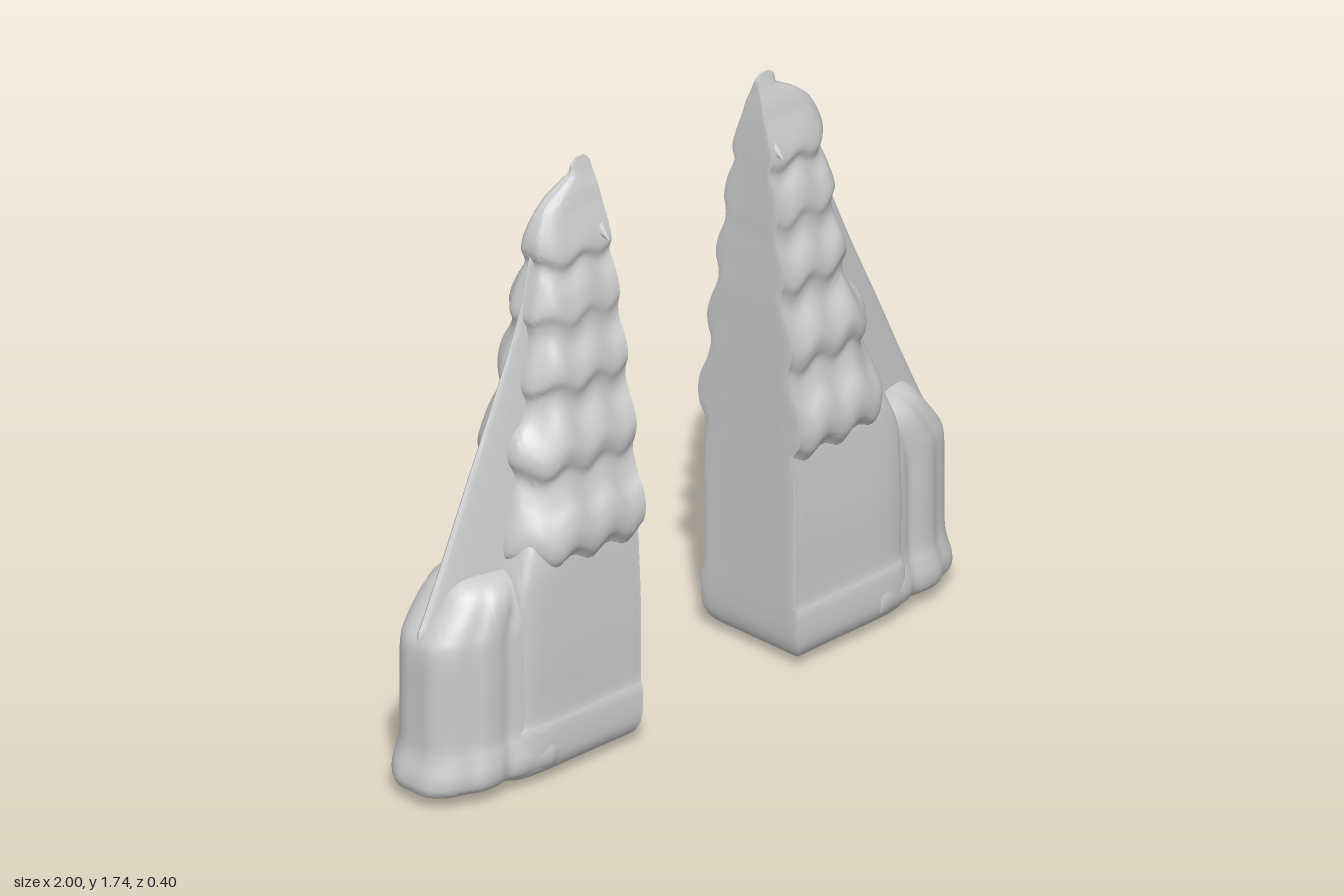
import * as THREE from 'three';
import { toCreasedNormals } from 'three/addons/utils/BufferGeometryUtils.js';

const material = new THREE.MeshStandardMaterial({ color: 0xcccccc });

// Lofts horizontal rings. rows: [y, inner x, outer x, half depth];
// plan: [u, v] from the inner to the outer edge, mirrored front to back.
function loft(rows, plan, side, scallop = () => 0) {
  const half = new THREE.SplineCurve(plan.map(p => new THREE.Vector2(...p))).getPoints(44);
  const ring = [...half, ...half.slice().reverse().map(p => new THREE.Vector2(p.x, -p.y))];
  const spline = new THREE.CubicInterpolant(rows.map((_, i) => i), rows.flat(), 4);
  const steps = (rows.length - 1) * 4, n = ring.length, pos = [], index = [];
  for (let i = 0; i <= steps; i++) {
    const [y, xi, xo, d] = spline.evaluate(i / 4);
    for (const p of ring) {
      const x = xi + (xo - xi) * p.x;
      pos.push(side * x, y + scallop(x, y), p.y * Math.max(d, 0.001));
    }
  }
  const face = (a, b, c) => side > 0 ? index.push(a, b, c) : index.push(a, c, b);
  for (let i = 0; i < steps; i++) {
    for (let j = 0; j < n; j++) {
      const a = i * n + j, b = i * n + (j + 1) % n;
      face(a, b, b + n);
      face(a, b + n, a + n);
    }
  }
  // end caps
  for (const [row, up] of [[0, false], [steps, true]]) {
    const [y, xi, xo] = spline.evaluate(row / 4), c = pos.length / 3;
    pos.push(side * (xi + xo) / 2, y, 0);
    for (let j = 0; j < n; j++) {
      const a = row * n + j, b = row * n + (j + 1) % n;
      up ? face(a, b, c) : face(b, a, c);
    }
  }
  const g = new THREE.BufferGeometry();
  g.setAttribute('position', new THREE.Float32BufferAttribute(pos, 3));
  g.setIndex(index);
  return toCreasedNormals(g, 0.9);
}

// Base block
const bodyRows = [
  [0.008, 0.41, 0.70, 0.05], [0.018, 0.36, 0.73, 0.11], [0.04, 0.32, 0.74, 0.16],
  [0.075, 0.303, 0.745, 0.183], [0.12, 0.297, 0.745, 0.188], [0.18, 0.295, 0.74, 0.185],
  [0.22, 0.295, 0.735, 0.178], [0.4, 0.295, 0.735, 0.179], [0.58, 0.295, 0.73, 0.172],
  [0.67, 0.295, 0.70, 0.165], [0.74, 0.295, 0.67, 0.15]];
const bodyPlan = [[0, 0], [0, 0.5], [0, 0.95], [0.03, 1], [0.2, 0.99], [0.5, 0.98], [0.75, 0.97],
  [0.9, 0.93], [0.98, 0.84], [1, 0.6], [1, 0]];

// Tiered tower with bulging eaves
const tierRows = [
  [0.62, 0.295, 0.66, 0.155], [0.655, 0.295, 0.69, 0.172], [0.685, 0.295, 0.705, 0.191],
  [0.73, 0.295, 0.70, 0.197], [0.78, 0.295, 0.68, 0.187], [0.83, 0.295, 0.665, 0.162],
  [0.89, 0.295, 0.65, 0.147], [0.93, 0.295, 0.665, 0.158], [0.97, 0.295, 0.66, 0.162],
  [1.02, 0.295, 0.64, 0.148], [1.08, 0.295, 0.605, 0.122], [1.12, 0.296, 0.595, 0.12],
  [1.16, 0.297, 0.605, 0.131], [1.21, 0.298, 0.595, 0.124], [1.27, 0.3, 0.57, 0.1],
  [1.31, 0.3, 0.57, 0.096], [1.35, 0.301, 0.577, 0.103], [1.41, 0.303, 0.555, 0.092],
  [1.47, 0.305, 0.535, 0.068], [1.51, 0.306, 0.545, 0.077], [1.56, 0.308, 0.54, 0.066],
  [1.62, 0.311, 0.515, 0.045], [1.66, 0.314, 0.475, 0.034], [1.69, 0.317, 0.425, 0.022],
  [1.71, 0.319, 0.393, 0.014], [1.735, 0.322, 0.387, 0.006], [1.75, 0.338, 0.37, 0.002]];
const tierPlan = [[0, 0], [0, 0.5], [0, 0.95], [0.03, 1], [0.2, 1], [0.4, 0.99], [0.6, 0.97],
  [0.76, 0.92], [0.86, 0.8], [0.93, 0.62], [0.99, 0.42], [1, 0.2], [1, 0]];
const scallop = (x, y) => y < 1.6
  ? 0.016 * Math.cos((x - 0.41) / 0.13 * Math.PI * 2) * Math.min(1, (1.6 - y) / 0.15) : 0;

// Lower wing on the outer side
const wingRows = [
  [0.03, 0.6, 0.83, 0.06], [0.04, 0.6, 0.97, 0.125], [0.06, 0.6, 0.998, 0.16],
  [0.1, 0.6, 0.997, 0.172], [0.15, 0.6, 0.982, 0.165], [0.2, 0.6, 0.977, 0.156],
  [0.35, 0.6, 0.976, 0.156], [0.47, 0.6, 0.974, 0.154], [0.52, 0.6, 0.95, 0.152],
  [0.58, 0.6, 0.905, 0.144], [0.62, 0.6, 0.875, 0.122], [0.643, 0.6, 0.84, 0.085],
  [0.652, 0.6, 0.8, 0.03]];
const wingPlan = [[0, 0], [0, 1], [0.25, 1.02], [0.36, 0.98], [0.44, 0.91], [0.55, 0.95], [0.67, 0.92],
  [0.76, 0.8], [0.88, 0.68], [0.96, 0.5], [1, 0.28], [1, 0]];

// Sloping buttress that narrows to a ridge
const finRows = [
  [0.4, 0.45, 0.965, 0.12], [0.5, 0.45, 0.973, 0.115], [0.56, 0.45, 0.947, 0.11],
  [0.72, 0.42, 0.87, 0.1], [0.9, 0.4, 0.787, 0.085], [1.1, 0.38, 0.692, 0.07],
  [1.25, 0.36, 0.625, 0.058], [1.36, 0.35, 0.582, 0.048], [1.5, 0.34, 0.548, 0.035],
  [1.56, 0.34, 0.52, 0.02]];
const finPlan = [[0, 0], [0, 1], [0.3, 0.95], [0.5, 0.75], [0.7, 0.5], [0.86, 0.3], [0.97, 0.12], [1, 0]];

function createHalf(side) {
  const half = new THREE.Group();
  half.name = side > 0 ? 'leftTowerHalf' : 'rightTowerHalf';
  const add = (name, geometry) => {
    const mesh = new THREE.Mesh(geometry, material);
    mesh.name = name;
    half.add(mesh);
    return mesh;
  };
  add('baseBlock', loft(bodyRows, bodyPlan, side));
  add('tieredTower', loft(tierRows, tierPlan, side, scallop));
  add('lowerWing', loft(wingRows, wingPlan, side));
  add('buttress', loft(finRows, finPlan, side));
  // small pointed eave ornaments near the top
  for (const z of [1, -1]) {
    const tip = add('eaveOrnament', new THREE.ConeGeometry(0.026, 0.07, 12));
    tip.position.set(side * 0.333, 1.538, z * 0.067);
    tip.rotation.x = z * 2.2;
  }
  return half;
}

export function createModel() {
  const model = new THREE.Group();
  model.name = 'splitTower';
  model.add(createHalf(1), createHalf(-1));
  return model;
}
